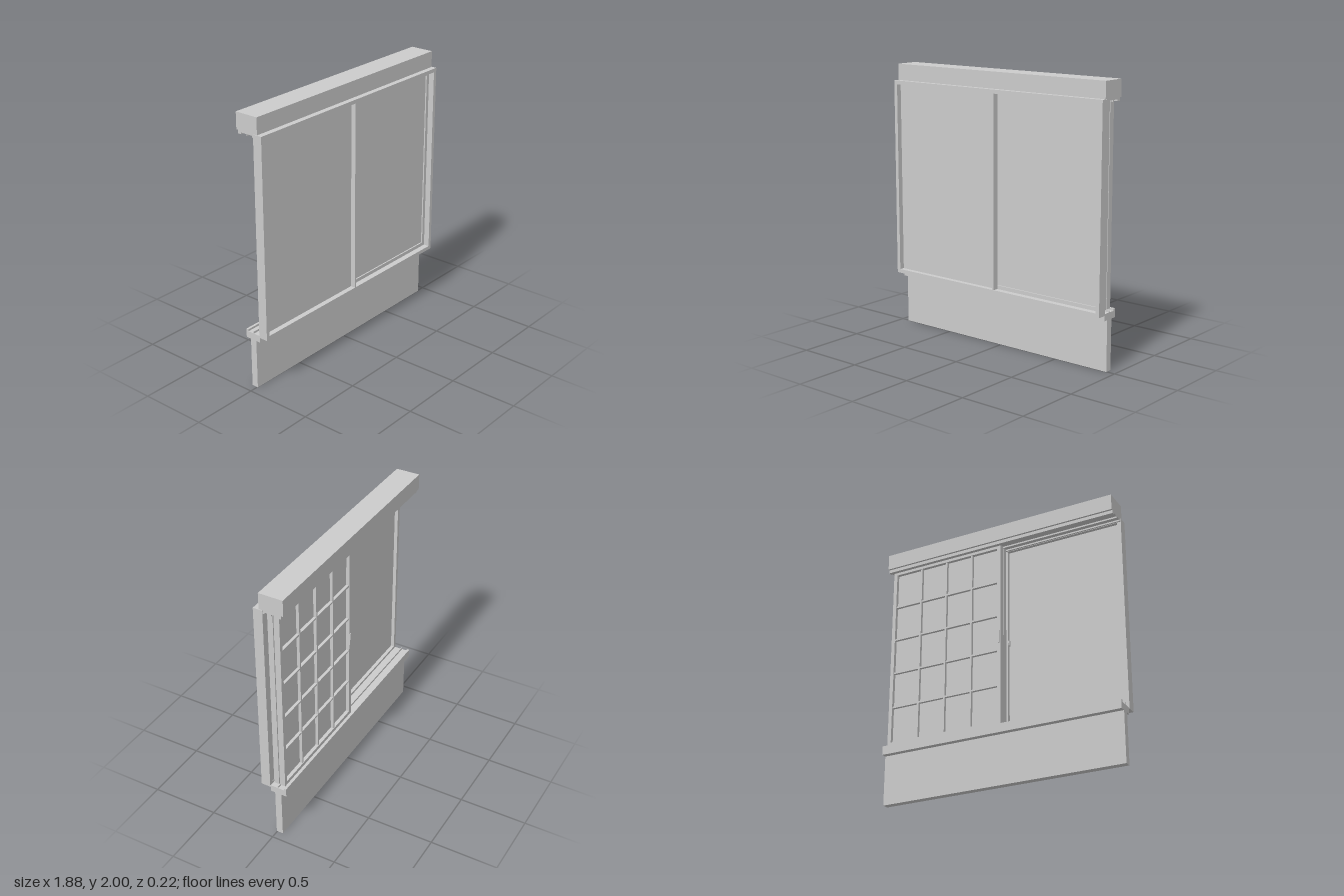
import * as THREE from 'three';

const material = new THREE.MeshStandardMaterial({ color: 0xcccccc });

// Box given by its limits on each axis
function box(parent, name, [x0, x1], [y0, y1], [z0, z1]) {
  const mesh = new THREE.Mesh(new THREE.BoxGeometry(x1 - x0, y1 - y0, z1 - z0), material);
  mesh.position.set((x0 + x1) / 2, (y0 + y1) / 2, (z0 + z1) / 2);
  mesh.name = name;
  parent.add(mesh);
  return mesh;
}

// Rectangular frame extruded along z
function ring(parent, name, [x0, x1], [y0, y1], [z0, z1], t) {
  const rect = (path, a, b, c, d) => path.moveTo(a, c).lineTo(b, c).lineTo(b, d).lineTo(a, d).closePath();
  const shape = rect(new THREE.Shape(), x0, x1, y0, y1);
  shape.holes.push(rect(new THREE.Path(), x0 + t, x1 - t, y0 + t, y1 - t));
  const geometry = new THREE.ExtrudeGeometry(shape, { depth: z1 - z0, bevelEnabled: false });
  const mesh = new THREE.Mesh(geometry, material);
  mesh.position.z = z0;
  mesh.name = name;
  parent.add(mesh);
}

function group(parent, name) {
  const g = new THREE.Group();
  g.name = name;
  parent.add(g);
  return g;
}

// Sliding screen: frame, backing sheet towards the front, lattice towards the back
function latticeScreen(parent, name, z0, z1) {
  const g = group(parent, name);
  const xs = [-0.02, 0.91], ys = [0.435, 1.865], t = 0.028, bar = 0.013;
  ring(g, 'screenFrame', xs, ys, [z0, z1], t);
  box(g, 'screenSheet', [xs[0] + t, xs[1] - t], [ys[0] + t, ys[1] - t], [z1 - 0.016, z1 - 0.01]);
  const at = (range, i, n) => range[0] + t + (range[1] - range[0] - 2 * t) * i / n;
  for (let i = 1; i < 4; i++) {
    const x = at(xs, i, 4);
    box(g, 'verticalLatticeBar', [x - bar / 2, x + bar / 2], [ys[0] + t, ys[1] - t], [z0 + 0.004, z1 - 0.015]);
  }
  for (let i = 1; i < 5; i++) {
    const y = at(ys, i, 5);
    box(g, 'horizontalLatticeBar', [xs[0] + t, xs[1] - t], [y - bar / 2, y + bar / 2], [z0 + 0.005, z1 - 0.015]);
  }
  return g;
}

export function createModel() {
  const model = new THREE.Group();
  model.name = 'slidingWindow';
  const W = [-0.935, 0.935];

  // Wall below and beam above the opening
  box(model, 'lowerWall', W, [0, 0.38], [-0.045, 0.005]);
  box(model, 'topBeam', W, [1.88, 2], [-0.11, 0.07]);

  // Lintel and sill with track ridges
  box(model, 'lintel', W, [1.867, 1.88], [-0.095, 0.04]);
  box(model, 'sill', W, [0.37, 0.42], [-0.085, 0.04]);
  for (const [z0, z1] of [[-0.095, -0.068], [-0.022, -0.016], [0.028, 0.04]]) {
    box(model, 'lintelRidge', W, [1.855, 1.868], [z0, z1]);
  }
  for (const [z0, z1] of [[-0.085, -0.067], [-0.022, -0.016]]) {
    box(model, 'sillRidge', W, [0.419, 0.435], [z0, z1]);
  }

  // Outer frame in front of the tracks
  ring(model, 'outerFrame', [-0.94, 0.94], [0.41, 1.88], [0.04, 0.11], 0.028);

  // Fixed outer panels
  const leftPane = group(model, 'frontPane');
  box(leftPane, 'paneSheet', [-0.913, 0.017], [0.437, 1.853], [0.066, 0.072]);
  box(leftPane, 'paneStile', [0.002, 0.017], [0.438, 1.852], [0.066, 0.108]);
  const rightPane = group(model, 'rearPane');
  ring(rightPane, 'paneFrame', [-0.025, 0.913], [0.437, 1.853], [0.042, 0.066], 0.028);
  box(rightPane, 'paneSheet', [0, 0.89], [0.46, 1.83], [0.052, 0.056]);
  box(rightPane, 'paneLatch', [-0.035, -0.024], [1.08, 1.12], [0.046, 0.06]);

  // Two lattice screens slid to the same side
  const front = latticeScreen(model, 'frontScreen', -0.015, 0.025);
  const rear = latticeScreen(model, 'rearScreen', -0.063, -0.021);
  box(front, 'screenPull', [-0.015, 0.003], [1.065, 1.16], [0.02, 0.028]);
  box(rear, 'screenPull', [-0.015, 0.003], [1.065, 1.16], [-0.068, -0.06]);
  return model;
}
